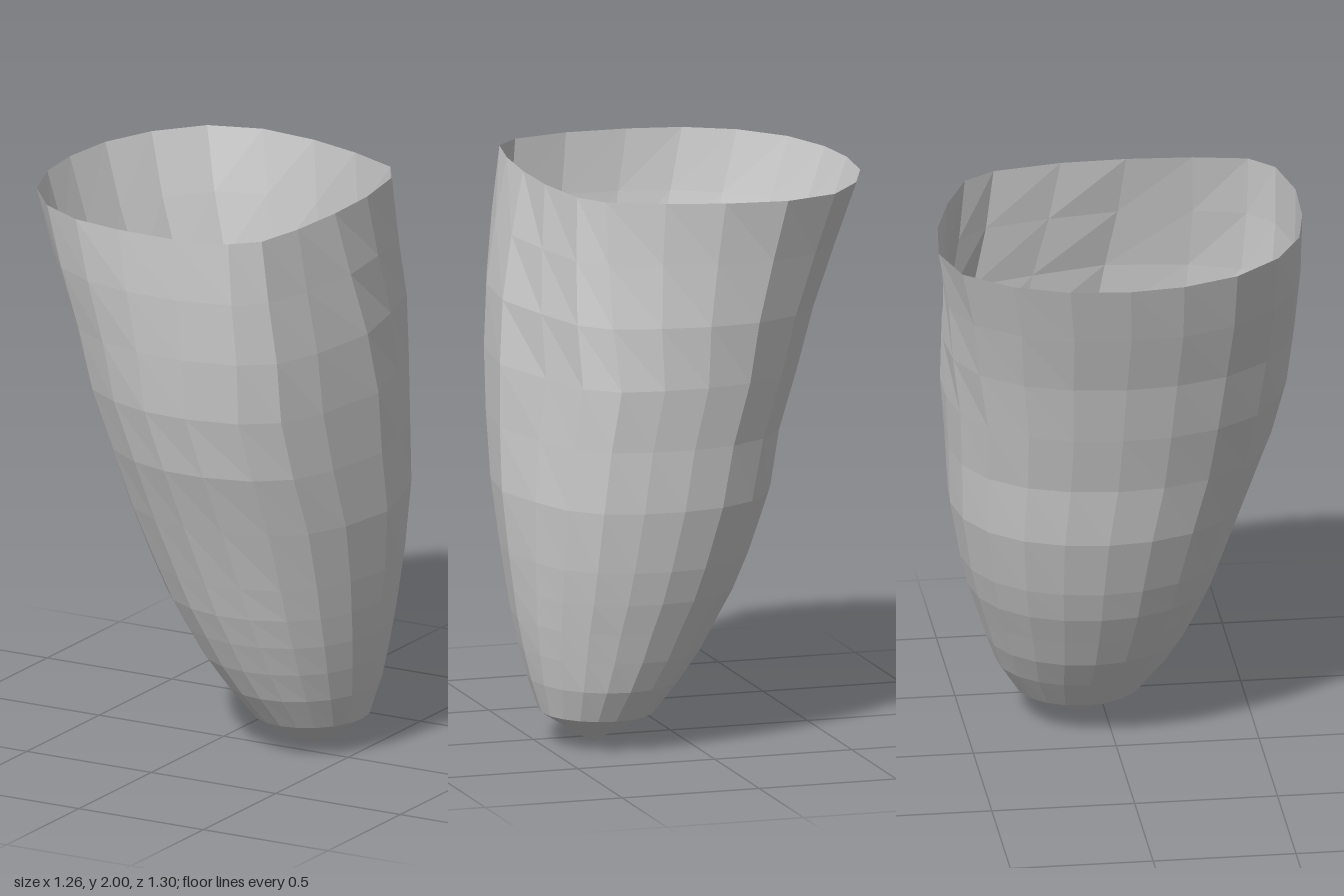
import * as THREE from 'three';

// Key outlines seen from above, (x, z) pairs running left, back, right, front
const bulge = [[-0.42, -0.03], [-0.4, -0.2], [-0.35, -0.35], [-0.25, -0.48], [-0.11, -0.56],
  [0.05, -0.59], [0.21, -0.59], [0.36, -0.565], [0.47, -0.47], [0.54, -0.27],
  [0.622, 0], [0.58, 0.31], [0.51, 0.48], [0.39, 0.57], [0.2, 0.61],
  [0.03, 0.6], [-0.12, 0.55], [-0.26, 0.46], [-0.36, 0.31], [-0.41, 0.14]];
const rim = [[-0.635, -0.03], [-0.615, -0.24], [-0.54, -0.43], [-0.41, -0.59], [-0.22, -0.65],
  [0, -0.625], [0.2, -0.565], [0.39, -0.48], [0.46, -0.37], [0.5, -0.13],
  [0.505, 0.1], [0.49, 0.33], [0.455, 0.52], [0.37, 0.605], [0.17, 0.65],
  [-0.05, 0.645], [-0.24, 0.61], [-0.41, 0.515], [-0.545, 0.355], [-0.615, 0.16]];
const SIDES = rim.length;
const circle = rim.map((_, i) => {
  const t = (i / SIDES) * Math.PI * 2;
  return [-Math.cos(t), -Math.sin(t)];
});

// Height and extents of every ring: y, xMin, xMax, zMin, zMax
const levels = [
  [0.115, 0.1, 0.5, -0.315, 0.125],
  [0.23, 0.01, 0.535, -0.385, 0.21],
  [0.34, -0.07, 0.56, -0.425, 0.27],
  [0.45, -0.13, 0.58, -0.46, 0.32],
  [0.56, -0.19, 0.595, -0.495, 0.365],
  [0.68, -0.24, 0.61, -0.525, 0.405],
  [0.9, -0.315, 0.63, -0.565, 0.48],
  [1.12, -0.355, 0.627, -0.575, 0.56],
  [1.34, -0.42, 0.622, -0.59, 0.61],
  [1.56, -0.48, 0.6, -0.61, 0.635],
  [1.78, -0.56, 0.555, -0.62, 0.65],
  [2, -0.635, 0.505, -0.65, 0.65],
];

// Rescale an outline to fill the unit square
function normalise(points) {
  const range = (k) => {
    const v = points.map((p) => p[k]);
    return [Math.min(...v), Math.max(...v)];
  };
  const [x0, x1] = range(0);
  const [z0, z1] = range(1);
  return points.map(([x, z]) => [(x - x0) / (x1 - x0), (z - z0) / (z1 - z0)]);
}

export function createModel() {
  const group = new THREE.Group();
  group.name = 'openShell';
  const [low, mid, high] = [circle, bulge, rim].map(normalise);

  // Blend the key outlines and fit them to each level
  const rings = levels.map(([y, x0, x1, z0, z1]) => {
    const upper = y > 1.34;
    const t = upper ? (y - 1.34) / 0.66 : (y - 0.115) / 1.225;
    const [a, b] = upper ? [mid, high] : [low, mid];
    return a.map((p, i) => [
      THREE.MathUtils.lerp(x0, x1, THREE.MathUtils.lerp(p[0], b[i][0], t)),
      y,
      THREE.MathUtils.lerp(z0, z1, THREE.MathUtils.lerp(p[1], b[i][1], t)),
    ]);
  });

  const material = new THREE.MeshStandardMaterial({
    color: 0xcccccc, flatShading: true, side: THREE.DoubleSide,
  });
  const addMesh = (name, corners) => {
    const geometry = new THREE.BufferGeometry();
    geometry.setAttribute('position', new THREE.Float32BufferAttribute(corners.flat(), 3));
    geometry.computeVertexNormals();
    const mesh = new THREE.Mesh(geometry, material);
    mesh.name = name;
    group.add(mesh);
  };

  // Side wall, open at the top
  const wall = [];
  for (let r = 0; r < rings.length - 1; r++) {
    for (let i = 0; i < SIDES; i++) {
      const j = (i + 1) % SIDES;
      const a = rings[r][i], b = rings[r][j];
      const c = rings[r + 1][j], d = rings[r + 1][i];
      wall.push(a, c, b, a, d, c);
    }
  }
  addMesh('wall', wall);

  // Shallow cone closing the bottom
  const tip = [0.315, 0, -0.09];
  addMesh('tip', rings[0].flatMap((p, i) => [tip, p, rings[0][(i + 1) % SIDES]]));

  return group;
}
